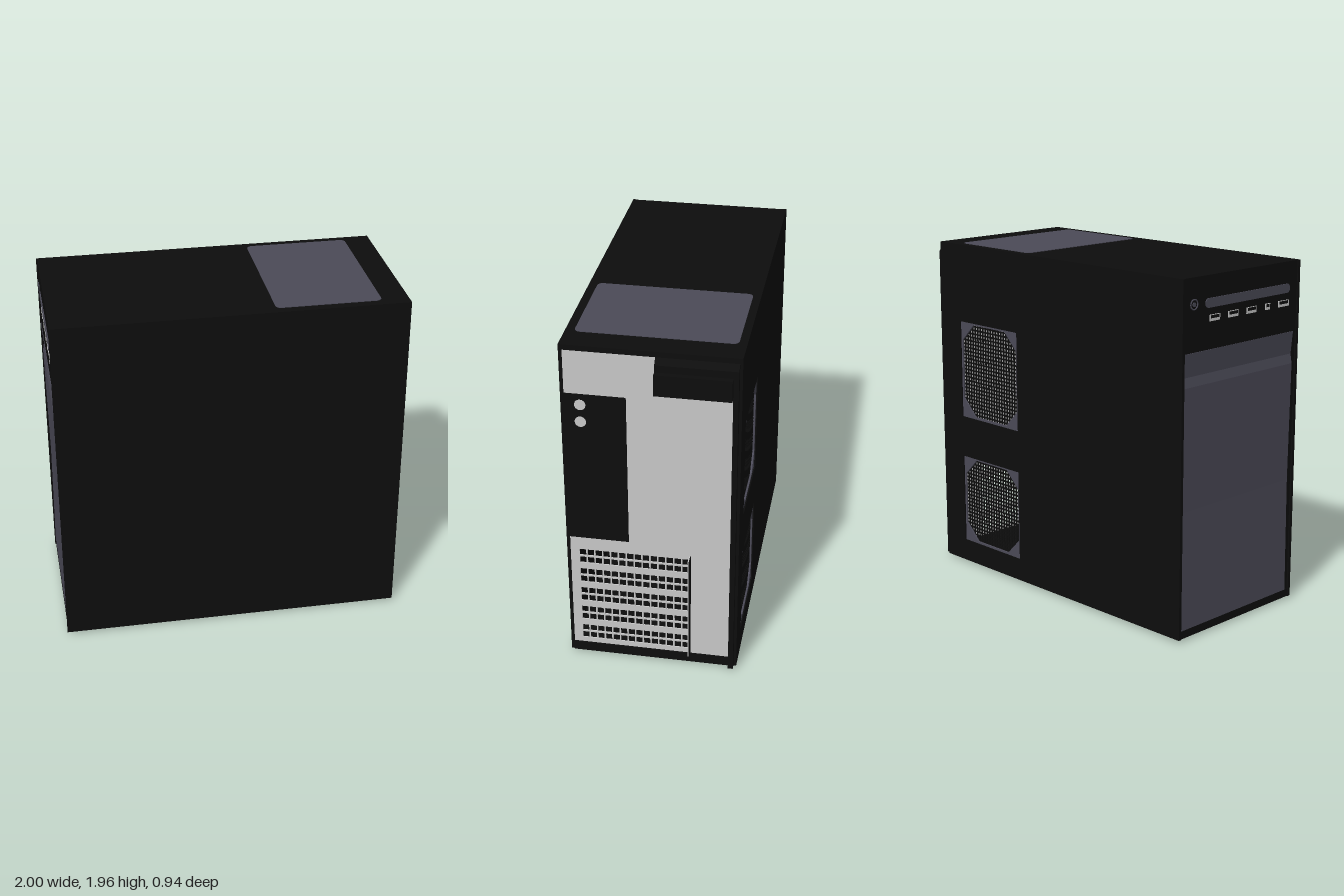
import * as THREE from 'three';

const flat = (name, color) => {
  const m = new THREE.MeshStandardMaterial({ color });
  m.name = name;
  return m;
};

// Rectangle outline, optionally with cut corners
function outline(path, x0, y0, x1, y1, cut = 0) {
  const pts = cut
    ? [[x0 + cut, y0], [x1 - cut, y0], [x1, y0 + cut], [x1, y1 - cut],
       [x1 - cut, y1], [x0 + cut, y1], [x0, y1 - cut], [x0, y0 + cut]]
    : [[x0, y0], [x1, y0], [x1, y1], [x0, y1]];
  path.setFromPoints(pts.map(p => new THREE.Vector2(...p)));
  return path;
}

function roundedRect(x0, y0, x1, y1, r) {
  const s = new THREE.Shape();
  s.absarc(x1 - r, y1 - r, r, 0, Math.PI / 2);
  s.absarc(x0 + r, y1 - r, r, Math.PI / 2, Math.PI);
  s.absarc(x0 + r, y0 + r, r, Math.PI, Math.PI * 1.5);
  s.absarc(x1 - r, y0 + r, r, Math.PI * 1.5, Math.PI * 2);
  return s;
}

const extrude = (shape, depth) =>
  new THREE.ExtrudeGeometry(shape, { depth, bevelEnabled: false, curveSegments: 6 });

export function createModel() {
  const black = flat('black steel', 0x0d0d0d);
  const grey = flat('slate plastic', 0x4b4a57);
  const light = flat('bare metal', 0xc8c8c8);
  const model = new THREE.Group();
  model.name = 'computerCase';

  const add = (name, geometry, material, parent = model) => {
    const m = new THREE.Mesh(geometry, material);
    m.name = name;
    parent.add(m);
    return m;
  };
  // Box given by its minimum and maximum corners
  const box = (name, mat, x0, x1, y0, y1, z0, z1, parent) =>
    add(name, new THREE.BoxGeometry(x1 - x0, y1 - y0, z1 - z0)
      .translate((x0 + x1) / 2, (y0 + y1) / 2, (z0 + z1) / 2), mat, parent);

  // Outer shell
  box('plainSidePanel', black, -1, 0.94, 0.015, 1.96, 0.45, 0.468);
  box('topPanel', black, -0.97, 0.94, 1.93, 1.96, -0.456, 0.451);
  box('bottomPanel', black, -0.97, 0.945, 0.015, 0.07, -0.456, 0.451);
  box('foot', black, -0.91, -0.89, 0, 0.02, -0.44, -0.42);
  add('topPad', extrude(roundedRect(0.21, -0.42, 0.79, 0.43, 0.03), 0.006)
    .rotateX(-Math.PI / 2).translate(0, 1.957, 0), grey);

  // Vented side panel with two openings
  const vents = [[0.145, 0.68], [0.925, 1.505]];
  const vx0 = 0.275, vx1 = 0.775;
  const wall = outline(new THREE.Shape(), -1, 0.015, 0.94, 1.96);
  for (const [y0, y1] of vents) wall.holes.push(outline(new THREE.Path(), vx0, y0, vx1, y1));
  add('ventedSidePanel', extrude(wall, 0.018).translate(0, 0, -0.473), black);

  // Fan frames with a wire mesh
  for (const [y0, y1] of vents) {
    const vent = new THREE.Group();
    vent.name = 'fanVent';
    model.add(vent);
    const frame = outline(new THREE.Shape(), vx0, y0, vx1, y1);
    frame.holes.push(outline(new THREE.Path(), vx0 + 0.012, y0 + 0.012, vx1 - 0.012, y1 - 0.012, 0.1));
    add('fanFrame', extrude(frame, 0.01).translate(0, 0, -0.466), grey, vent);
    const nx = 22, ny = Math.round((y1 - y0) / 0.0227);
    for (let i = 1; i < nx; i++) {
      const x = vx0 + (vx1 - vx0) * i / nx;
      box('meshWire', black, x - 0.0045, x + 0.0045, y0, y1, -0.455, -0.451, vent);
    }
    for (let j = 1; j < ny; j++) {
      const y = y0 + (y1 - y0) * j / ny;
      box('meshWire', black, vx0, vx1, y - 0.0045, y + 0.0045, -0.4545, -0.4505, vent);
    }
  }

  // Flange along the rear edge, chamfered at the top
  const flange = new THREE.Shape([[0.92, 0.015], [0.97, 0.015], [0.97, 1.9], [0.94, 1.93], [0.92, 1.93]]
    .map(p => new THREE.Vector2(...p)));
  add('rearFlange', extrude(flange, 0.028).translate(0, 0, -0.458), black);

  // Rear metal panel with paired rows of slots; shape x is -z
  const rear = outline(new THREE.Shape(), -0.45, 0.07, 0.43, 1.93);
  for (let g = 0; g < 5; g++)
    for (const dy of [0, 0.05])
      for (let c = 0; c < 14; c++) {
        const u = -0.4 + c * 0.0436, y = 0.1 + g * 0.1295 + dy;
        rear.holes.push(outline(new THREE.Path(), u, y, u + 0.036, y + 0.04));
      }
  add('rearPanel', extrude(rear, 0.008).rotateY(Math.PI / 2).translate(0.928, 0, 0), light);
  box('slotCoverLight', light, 0.936, 0.985, 0.08, 0.73, -0.21, -0.204);
  box('slotCoverDark', black, 0.936, 0.985, 0.08, 0.73, -0.214, -0.21);

  // Connector plate with two round ports
  box('connectorPlate', black, 0.926, 0.942, 0.79, 1.68, 0.125, 0.452);
  for (const y of [1.52, 1.62])
    add('roundPort', new THREE.CylinderGeometry(0.03, 0.03, 0.008, 24)
      .rotateZ(Math.PI / 2).translate(0.942, y, 0.365), light);

  // Stepped housing at the upper rear corner
  const steps = new THREE.Shape([[0.93, 1.74], [1, 1.74], [1, 1.86], [0.97, 1.86], [0.97, 1.9], [0.94, 1.93], [0.93, 1.93]]
    .map(p => new THREE.Vector2(...p)));
  add('rearHousing', extrude(steps, 0.4).translate(0, 0, -0.43), black);

  // Fascia: control strip above a door with a sloped top
  box('controlPanel', black, -0.995, -0.94, 1.56, 1.96, -0.456, 0.451);
  const door = new THREE.Shape([[-0.98, 0.04], [-0.95, 0.04], [-0.95, 1.57], [-0.998, 1.57], [-0.98, 1.39]]
    .map(p => new THREE.Vector2(...p)));
  door.setFromPoints([[-0.995, 0.06], [-0.95, 0.06], [-0.95, 1.57], [-0.962, 1.57], [-0.995, 1.39]]
    .map(p => new THREE.Vector2(...p)));
  add('fasciaDoor', extrude(door, 0.88).translate(0, 0, -0.455), grey);
  box('fasciaSill', black, -0.995, -0.95, 0.015, 0.06, -0.456, 0.451);
  box('fasciaEdge', black, -0.99, -0.95, 0.06, 1.57, 0.425, 0.451);

  // Controls on the fascia
  add('driveStrip', extrude(roundedRect(-0.3, 1.79, 0.385, 1.84, 0.024), 0.006)
    .rotateY(-Math.PI / 2).translate(-0.994, 0, 0), grey);
  add('powerButton', new THREE.TorusGeometry(0.026, 0.004, 6, 24)
    .rotateY(Math.PI / 2).translate(-0.996, 1.82, -0.385), grey);
  add('powerMark', new THREE.CylinderGeometry(0.012, 0.012, 0.006, 16)
    .rotateZ(Math.PI / 2).translate(-0.996, 1.82, -0.385), grey);
  for (const [z, w] of [[-0.226, 0.04], [-0.08, 0.04], [0.067, 0.04], [0.2, 0.02], [0.335, 0.045]]) {
    box('portRim', light, -0.999, -0.99, 1.718, 1.752, z - w, z + w);
    box('portSocket', black, -1, -0.99, 1.733, 1.749, z - w + 0.008, z + w - 0.008);
  }
  return model;
}
